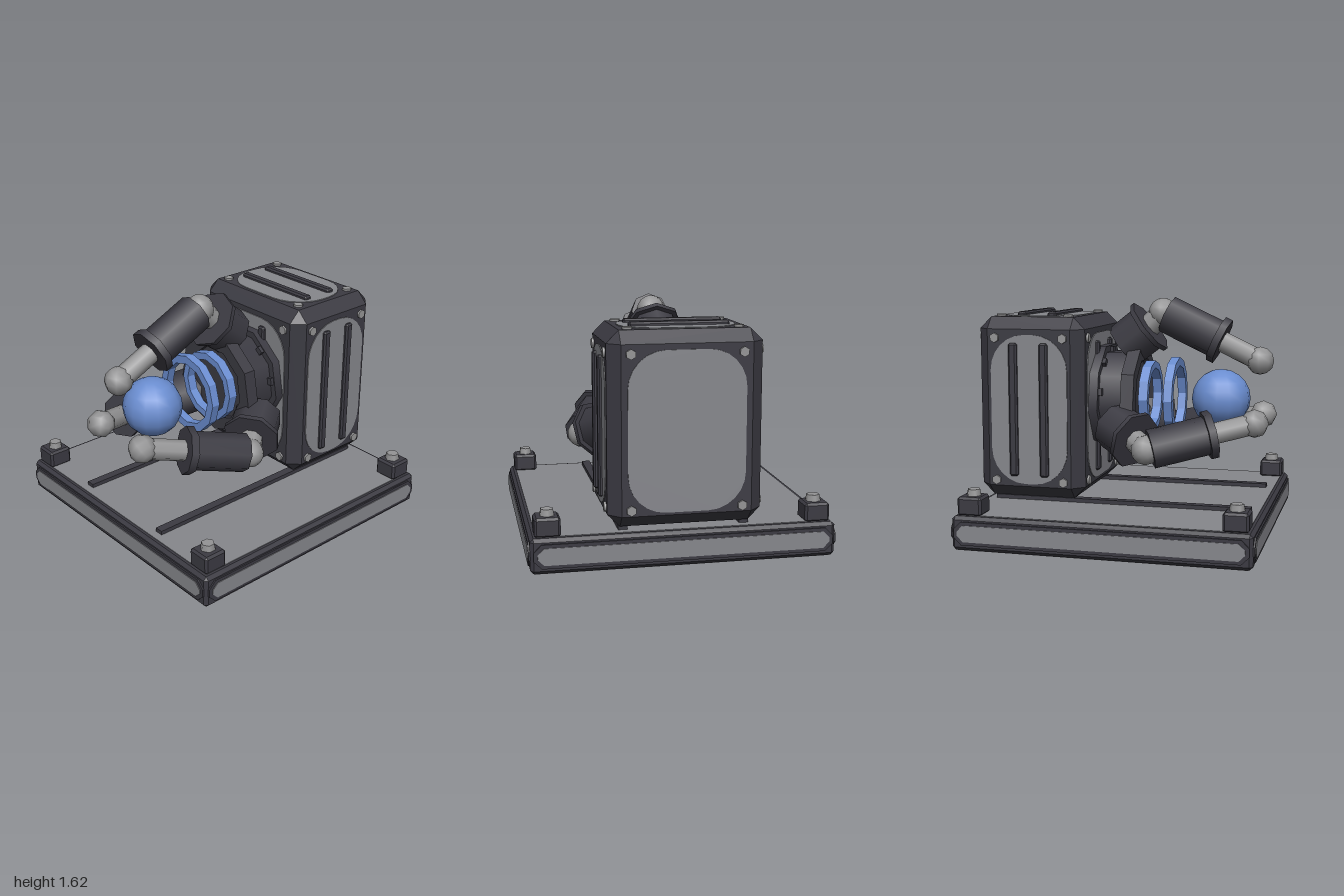
import * as THREE from 'three';
import { ConvexGeometry } from 'three/addons/geometries/ConvexGeometry.js';

const mat = (name, color) => Object.assign(new THREE.MeshStandardMaterial({ color }), { name });
const dark = mat('charcoal', 0x3b3a42);
const panelGrey = mat('panel grey', 0x86878c);
const steel = mat('steel', 0x949495);
const blue = mat('blue', 0x6a8dd0);

function add(parent, name, geometry, material, x = 0, y = 0, z = 0) {
  const mesh = new THREE.Mesh(geometry, material);
  mesh.name = name;
  mesh.position.set(x, y, z);
  parent.add(mesh);
  return mesh;
}

// Box with all edges and corners cut by c
function chamferBox(w, h, d, c) {
  const pts = [];
  for (const sx of [-1, 1]) for (const sy of [-1, 1]) for (const sz of [-1, 1]) {
    const x = w / 2, y = h / 2, z = d / 2;
    pts.push(new THREE.Vector3(sx * x, sy * (y - c), sz * (z - c)));
    pts.push(new THREE.Vector3(sx * (x - c), sy * y, sz * (z - c)));
    pts.push(new THREE.Vector3(sx * (x - c), sy * (y - c), sz * z));
  }
  return new ConvexGeometry(pts);
}

// Plate in the xy plane with rounded (steps > 1) or cut corners
function plate(w, h, r, depth, steps) {
  const s = new THREE.Shape();
  const pts = [];
  [[1, 1], [-1, 1], [-1, -1], [1, -1]].forEach(([sx, sy], q) => {
    for (let i = 0; i <= steps; i++) {
      const a = (q + i / steps) * Math.PI / 2;
      pts.push(new THREE.Vector2(sx * (w / 2 - r) + r * Math.cos(a), sy * (h / 2 - r) + r * Math.sin(a)));
    }
  });
  s.setFromPoints(pts);
  return new THREE.ExtrudeGeometry(s, { depth, bevelEnabled: false });
}

// Cylinder along z, one corner pointing down
function disc(r, length, sides) {
  return new THREE.CylinderGeometry(r, r, length, sides).rotateX(Math.PI / 2);
}

// Flat ring along z, centred on its depth
function ring(outer, inner, depth, sides) {
  const circle = (r) => Array.from({ length: sides }, (_, i) => {
    const a = -Math.PI / 2 + i / sides * Math.PI * 2;
    return new THREE.Vector2(r * Math.cos(a), r * Math.sin(a));
  });
  const s = new THREE.Shape(circle(outer));
  s.holes.push(new THREE.Path(circle(inner)));
  return new THREE.ExtrudeGeometry(s, { depth, bevelEnabled: false }).translate(0, 0, -depth / 2);
}

// Cylinder between two [y, z] points in the finger's plane
function rod(parent, name, a, b, r, material, sides = 8) {
  const p = new THREE.Vector3(0, ...a), q = new THREE.Vector3(0, ...b);
  const dir = q.clone().sub(p);
  const mesh = add(parent, name, new THREE.CylinderGeometry(r, r, dir.length(), sides), material);
  mesh.position.copy(p).add(q).multiplyScalar(0.5);
  mesh.quaternion.setFromUnitVectors(new THREE.Vector3(0, 1, 0), dir.normalize());
}

// Housing face: inset panel, corner bolts and optional bars, facing local +z
function housingFace(w, h, bars, boltX, boltY) {
  const g = new THREE.Group();
  g.name = 'housingFace';
  add(g, 'insetPanel', plate(w, h, 0.24, 0.008, 6), panelGrey, 0, 0, -0.002);
  for (const sx of [-1, 1]) {
    for (const sy of [-1, 1]) add(g, 'bolt', disc(0.033, 0.03, 6), steel, sx * boltX, sy * boltY, 0);
    if (bars) add(g, 'bar', chamferBox(0.06, bars.length, 0.06, 0.012), dark, sx * bars.x, 0, 0);
  }
  return g;
}

function makeBase() {
  const g = new THREE.Group();
  g.name = 'base';
  add(g, 'baseFrame', chamferBox(1.97, 0.226, 1.97, 0.022), dark, 0, 0.118, 0);
  add(g, 'topPlate', new THREE.BoxGeometry(1.89, 0.008, 1.89), panelGrey, 0, 0.231, 0);
  add(g, 'bottomPlate', new THREE.BoxGeometry(1.91, 0.008, 1.91), panelGrey, 0, 0.004, 0);
  // Long strip on each side
  for (let i = 0; i < 4; i++) {
    const side = new THREE.Group();
    side.name = 'baseSide';
    side.rotation.y = i * Math.PI / 2;
    add(side, 'stripBacking', plate(1.93, 0.155, 0.05, 0.02, 1), dark, 0, 0.121, 0.975);
    add(side, 'strip', plate(1.88, 0.11, 0.04, 0.008, 1), panelGrey, 0, 0.121, 0.992);
    g.add(side);
  }
  // Corner blocks, bolts and rails
  for (const sx of [-1, 1]) {
    for (const sz of [-1, 1]) {
      add(g, 'cornerBlock', chamferBox(0.165, 0.125, 0.165, 0.015), dark, sx * 0.872, 0.29, sz * 0.872);
      add(g, 'cornerBolt', new THREE.CylinderGeometry(0.043, 0.052, 0.05, 6), steel, sx * 0.868, 0.37, sz * 0.868);
    }
    add(g, 'rail', new THREE.BoxGeometry(0.06, 0.04, 1.78), dark, sx * 0.393, 0.242, 0);
  }
  return g;
}

function makeHousing() {
  const g = new THREE.Group();
  g.name = 'housing';
  g.position.set(0, 0.88, -0.615);
  add(g, 'housingBody', chamferBox(0.99, 1.235, 0.745, 0.08), dark);
  const tall = { length: 0.91, x: 0.155 }, side = { length: 0.91, x: 0.108 }, top = { length: 0.65, x: 0.108 };
  const place = (face, x, y, z, rx, ry, rz) => {
    face.position.set(x, y, z);
    face.rotation.set(rx, ry, rz);
    g.add(face);
  };
  const q = Math.PI / 2;
  place(housingFace(0.75, 1.02, tall, 0.355, 0.488), 0, -0.01, 0.3725, 0, 0, 0);
  place(housingFace(0.75, 1.02, null, 0.355, 0.488), 0, -0.01, -0.3725, 0, Math.PI, 0);
  place(housingFace(0.54, 1.02, side, 0.24, 0.488), 0.495, -0.01, 0, 0, q, 0);
  place(housingFace(0.54, 1.02, side, 0.24, 0.488), -0.495, -0.01, 0, 0, -q, 0);
  place(housingFace(0.54, 0.76, top, 0.24, 0.355), 0, 0.6175, 0, -q, 0, q);
  return g;
}

function makeFinger(angle) {
  const g = new THREE.Group();
  g.name = 'finger';
  g.rotation.z = angle;
  rod(g, 'knuckle', [0.35, -0.075], [0.48, 0.092], 0.165, dark);
  rod(g, 'knuckleFlange', [0.475, 0.085], [0.495, 0.111], 0.197, dark);
  rod(g, 'knuckleLink', [0.48, 0.09], [0.59, 0.205], 0.08, steel);
  add(g, 'joint', new THREE.SphereGeometry(0.1, 10, 8), steel, 0, 0.588, 0.2);
  rod(g, 'fingerSleeve', [0.575, 0.23], [0.395, 0.61], 0.132, dark);
  rod(g, 'sleeveFlange', [0.412, 0.573], [0.39, 0.62], 0.163, dark);
  rod(g, 'fingerRod', [0.41, 0.58], [0.267, 0.88], 0.072, steel);
  add(g, 'fingertip', new THREE.SphereGeometry(0.096, 8, 6), steel, 0, 0.267, 0.88);
  return g;
}

function makeHand() {
  const g = new THREE.Group();
  g.name = 'hand';
  g.position.y = 0.93;
  // Wrist
  add(g, 'wristFlange', disc(0.375, 0.07, 9), dark, 0, 0, -0.21);
  for (let i = 0; i < 9; i++) {
    const a = (i + 0.5) / 9 * Math.PI * 2;
    add(g, 'flangeLug', new THREE.BoxGeometry(0.05, 0.05, 0.04), dark,
      0.32 * Math.sin(a), -0.32 * Math.cos(a), -0.17).rotation.z = a;
  }
  add(g, 'wrist', disc(0.33, 0.22, 9), dark, 0, 0, -0.08);
  add(g, 'wristCollar', ring(0.36, 0.27, 0.09, 9), dark, 0, 0, 0.025);
  // Energy rings and ball
  add(g, 'innerRing', ring(0.25, 0.2, 0.065, 12), blue, 0, 0, 0.115);
  add(g, 'outerRing', ring(0.278, 0.22, 0.06, 12), blue, 0, 0, 0.292);
  add(g, 'ball', new THREE.SphereGeometry(0.203, 14, 10), blue, 0, 0, 0.615);
  for (let i = 0; i < 3; i++) g.add(makeFinger(i * Math.PI * 2 / 3));
  return g;
}

export function createModel() {
  const model = new THREE.Group();
  model.name = 'gripperMachine';
  model.add(makeBase(), makeHousing(), makeHand());
  return model;
}
